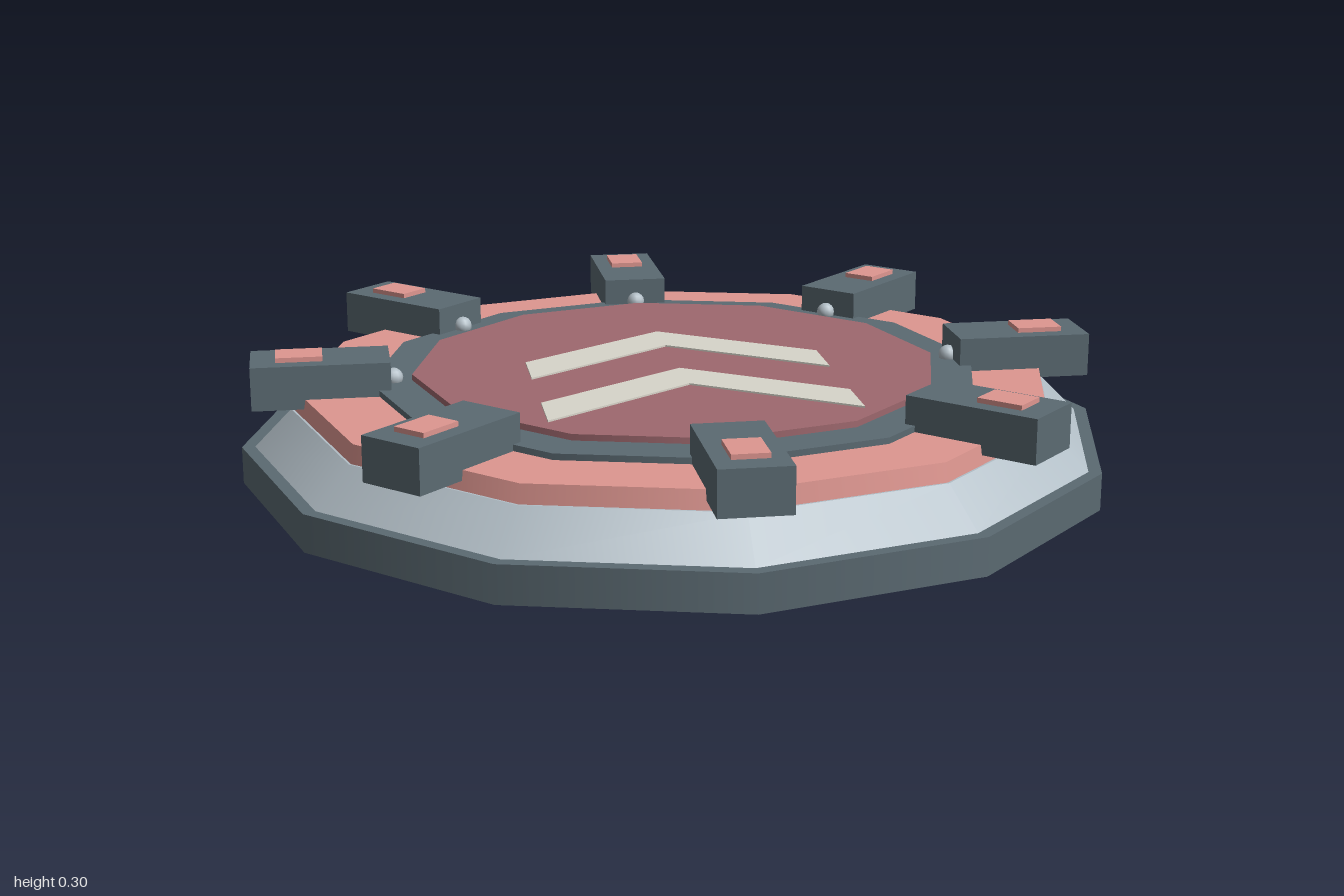
import * as THREE from 'three';

const mat = (color) => new THREE.MeshStandardMaterial({ color });
const SIDES = 12;

export function createModel() {
  const model = new THREE.Group();
  model.name = 'launchPad';
  const dark = mat(0x5b6a72), light = mat(0xb2bec6), pink = mat(0xde9690);
  const red = mat(0x9e686e), cream = mat(0xd8d5ca);

  const add = (parent, name, geometry, material, x = 0, y = 0, z = 0) => {
    const mesh = new THREE.Mesh(geometry, material);
    mesh.name = name;
    mesh.position.set(x, y, z);
    parent.add(mesh);
    return mesh;
  };

  // Stacked twelve-sided tiers: name, bottom radius, top radius, bottom y, top y
  const tiers = [
    ['base', 1, 1, 0, 0.085, dark],
    ['slopedSkirt', 0.97, 0.885, 0.085, 0.17, light],
    ['outerRing', 0.88, 0.873, 0.17, 0.212, pink],
    ['innerRing', 0.708, 0.708, 0.212, 0.226, dark],
    ['centreDisc', 0.61, 0.61, 0.226, 0.24, red],
  ];
  for (const [name, rBottom, rTop, y0, y1, material] of tiers) {
    add(model, name, new THREE.CylinderGeometry(rTop, rBottom, y1 - y0, SIDES), material, 0, (y0 + y1) / 2);
  }

  // Two raised chevrons pointing to the back
  const outline = [[0, 0.29], [0.345, 0.05], [0.345, -0.09], [0, 0.155], [-0.345, -0.09], [-0.345, 0.05]];
  const shape = new THREE.Shape(outline.map(([x, y]) => new THREE.Vector2(x, y)));
  const chevron = new THREE.ExtrudeGeometry(shape, { depth: 0.004, bevelEnabled: false });
  chevron.rotateX(-Math.PI / 2);
  for (const z of [0, 0.345]) add(model, 'chevron', chevron, cream, 0, 0.24, z);

  // Eight radial clamps, each with a pad on top and a small stud at its inner end
  const armGeometry = new THREE.BoxGeometry(0.155, 0.1, 0.312);
  const padGeometry = new THREE.BoxGeometry(0.08, 0.016, 0.105);
  const studGeometry = new THREE.SphereGeometry(0.022, 12, 8);
  for (let i = 0; i < 8; i++) {
    const clamp = new THREE.Group();
    clamp.name = 'clamp';
    clamp.rotation.y = (i * Math.PI) / 4;
    add(clamp, 'clampArm', armGeometry, dark, 0, 0.24, 0.816);
    add(clamp, 'clampPad', padGeometry, pink, 0, 0.293, 0.863);
    add(clamp, 'clampStud', studGeometry, light, 0, 0.235, 0.652);
    model.add(clamp);
  }
  return model;
}
